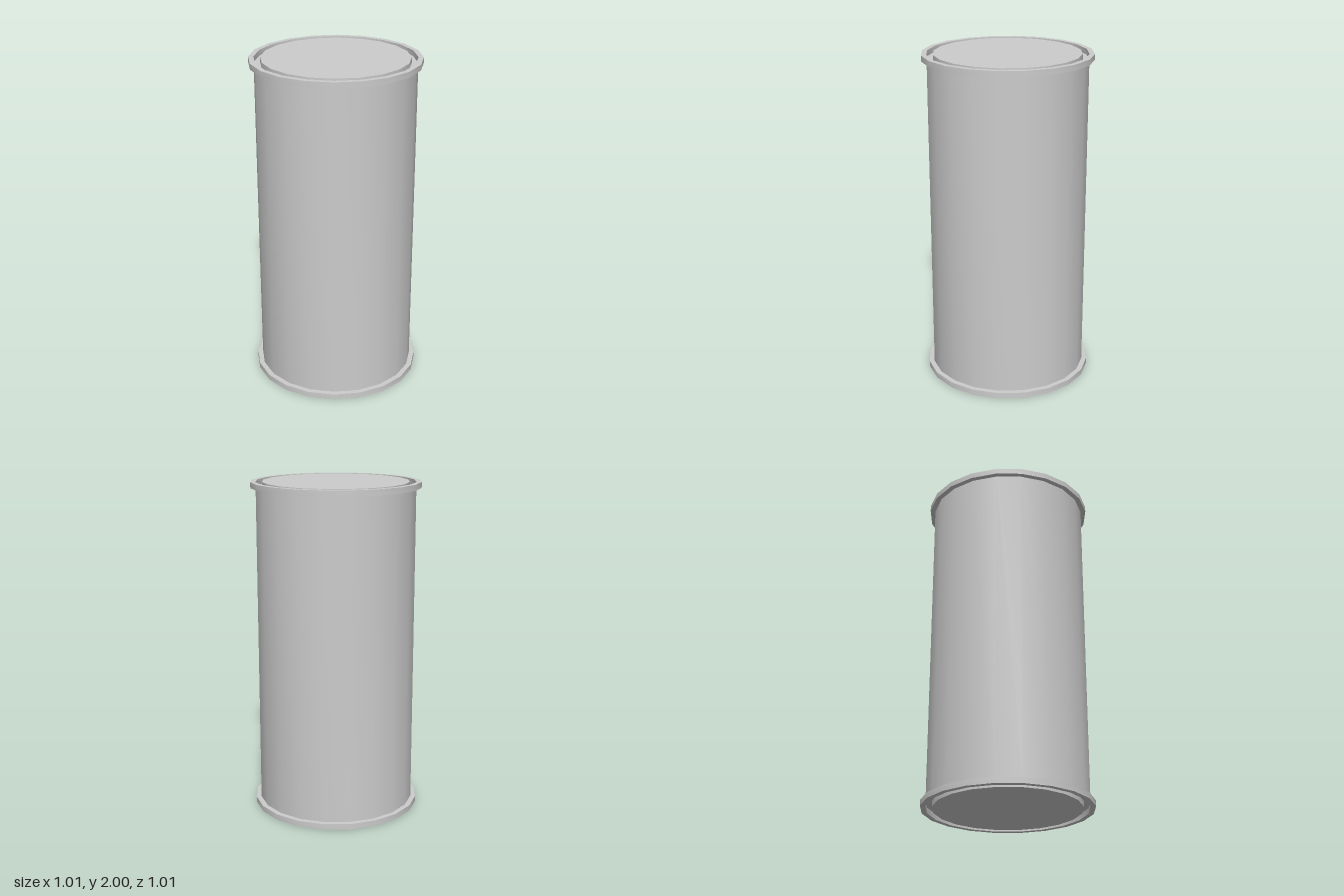
import * as THREE from 'three';
import { toCreasedNormals } from 'three/addons/utils/BufferGeometryUtils.js';

const SIDES = 20;
const HEIGHT = 2;
const BODY_R = 0.475, RIM_R = 0.506, LID_R = 0.437;
const RIM_H = 0.034;

const material = new THREE.MeshStandardMaterial({ color: 0xcccccc });

// Turned part: profile of [radius, y] points, smooth around and sharp at the corners
function turned(name, profile) {
  const points = profile.map(([r, y]) => new THREE.Vector2(r, y));
  const geometry = toCreasedNormals(new THREE.LatheGeometry(points, SIDES), 0.6);
  const mesh = new THREE.Mesh(geometry, material);
  mesh.name = name;
  return mesh;
}

// One end of the can, centred on the can's middle so it can be flipped over
function createEnd(name) {
  const top = HEIGHT / 2, low = top - RIM_H;
  const end = new THREE.Group();
  end.name = name;
  // Projecting rim ring
  end.add(turned('rim', [
    [BODY_R, low], [RIM_R, low], [RIM_R, top], [BODY_R, top], [BODY_R, low],
  ]));
  // Groove floor, then the raised flat lid
  end.add(turned('lid', [
    [BODY_R, low], [LID_R, low], [LID_R, top], [0, top],
  ]));
  end.position.y = HEIGHT / 2;
  return end;
}

export function createModel() {
  const model = new THREE.Group();
  model.name = 'can';

  // Straight wall
  model.add(turned('body', [[BODY_R, RIM_H], [BODY_R, HEIGHT - RIM_H]]));

  // Matching ends
  const bottom = createEnd('bottomEnd');
  bottom.rotation.x = Math.PI;
  model.add(createEnd('topEnd'), bottom);

  return model;
}
